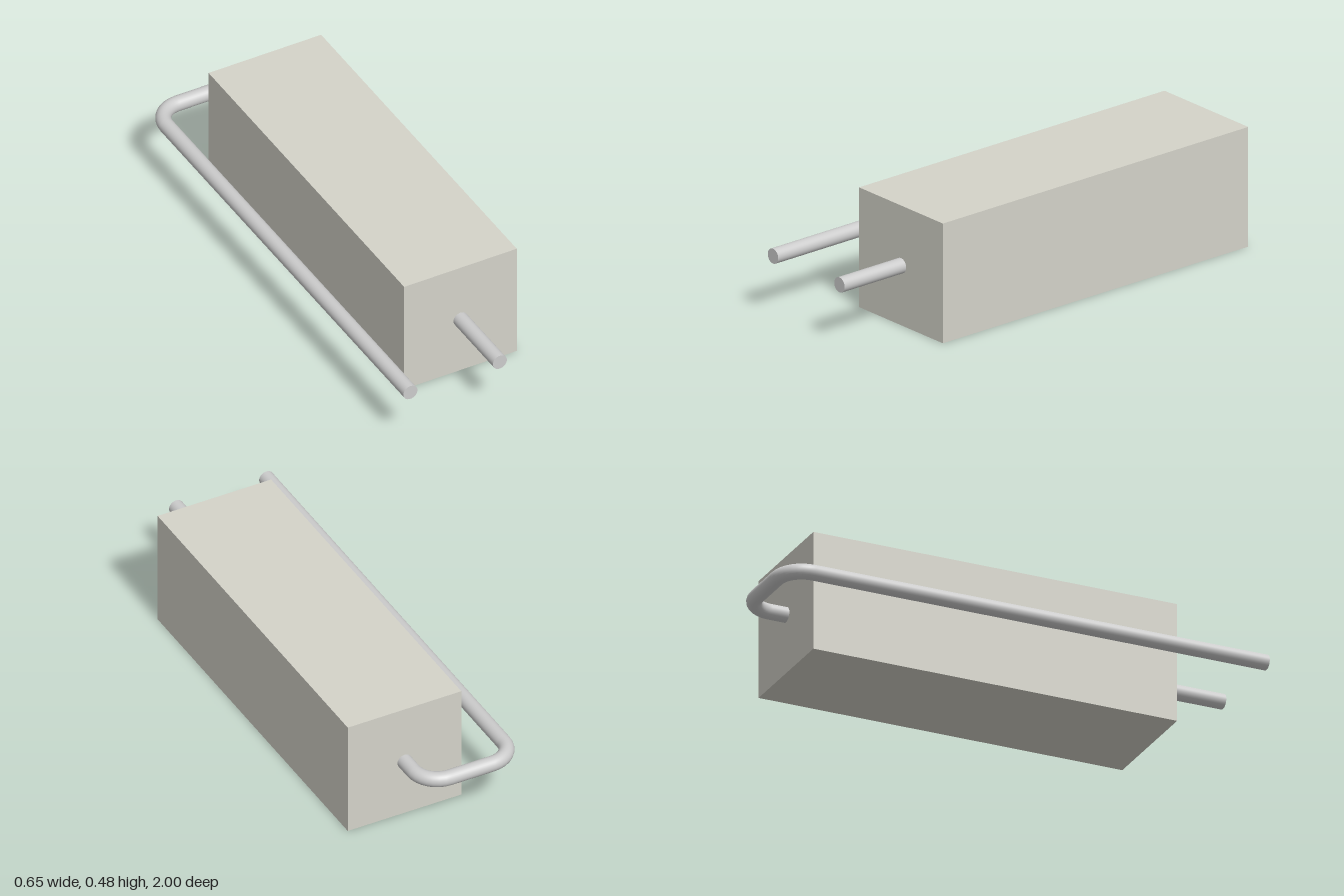
import * as THREE from 'three';
import { mergeGeometries } from 'three/addons/utils/BufferGeometryUtils.js';

const R = 0.03;        // wire radius
const BEND = 0.1;      // bend radius along the wire's centre line
const Y = 0.24;        // wire height
const X_LEAD = 0.085;  // straight lead through the body
const X_RETURN = -0.297; // lead that runs back beside the body
const Z_BACK = -0.97;  // centre line of the cross bar
const Z_FRONT = 1;
const SIDES = 32;

// straight wire along z
function leg(x, z0, z1) {
  return new THREE.CylinderGeometry(R, R, z1 - z0, SIDES)
    .rotateX(Math.PI / 2)
    .translate(x, Y, (z0 + z1) / 2);
}

// quarter bend in the horizontal plane, towards the back
function bend(x, turn) {
  return new THREE.TorusGeometry(BEND, R, SIDES, 8, Math.PI / 2)
    .rotateZ(turn)
    .rotateX(-Math.PI / 2)
    .translate(x, Y, Z_BACK + BEND);
}

export function createModel() {
  const model = new THREE.Group();

  // square block body
  const body = new THREE.Mesh(
    new THREE.BoxGeometry(0.481, 0.481, 1.5),
    new THREE.MeshStandardMaterial({ color: 0xd4d3c9 })
  );
  body.name = 'body';
  body.position.set(0.085, 0.2405, -0.052);
  model.add(body);

  // one bent wire: lead, bend, cross bar, bend, return lead
  const xa = X_RETURN + BEND, xb = X_LEAD - BEND;
  const crossBar = new THREE.CylinderGeometry(R, R, xb - xa, SIDES, 1, true)
    .rotateZ(Math.PI / 2)
    .translate((xa + xb) / 2, Y, Z_BACK);
  const wire = new THREE.Mesh(
    mergeGeometries([
      leg(X_LEAD, Z_BACK + BEND, Z_FRONT),
      bend(xb, 0),
      crossBar,
      bend(xa, Math.PI / 2),
      leg(X_RETURN, Z_BACK + BEND, Z_FRONT),
    ]),
    new THREE.MeshStandardMaterial({ color: 0xcccccc })
  );
  wire.name = 'wireLead';
  model.add(wire);

  return model;
}
